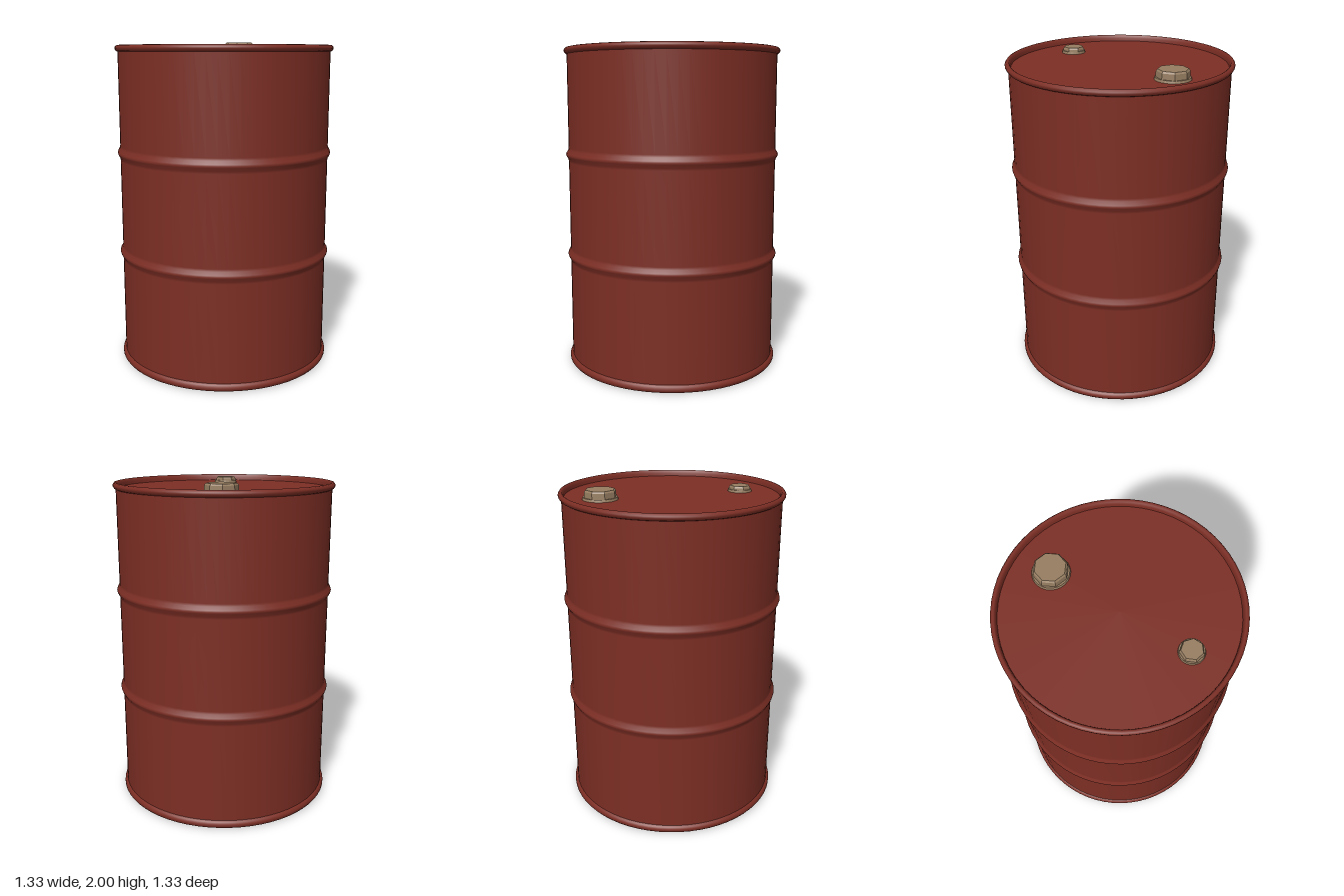
import * as THREE from 'three';

const red = new THREE.MeshStandardMaterial({ color: 0x7c2e24 });
red.name = 'red paint';
const tan = new THREE.MeshStandardMaterial({ color: 0x967d61 });
tan.name = 'tan cap';

const SIDES = 64;
const WALL = 0.65;
const RIM = 0.667;

// Lathe a profile listed as [radius, height], running upwards on the outside
function lathe(name, profile) {
  const points = profile.map(([r, y]) => new THREE.Vector2(r, y));
  const mesh = new THREE.Mesh(new THREE.LatheGeometry(points, SIDES), red);
  mesh.name = name;
  return mesh;
}

// Rolled hoop standing out from the wall
function hoop(y) {
  return [
    [WALL, y - 0.045], [WALL + 0.003, y - 0.03], [RIM - 0.003, y - 0.01],
    [RIM, y], [RIM - 0.003, y + 0.01], [WALL + 0.003, y + 0.03], [WALL, y + 0.045],
  ];
}

// Screw cap: round flange with a faceted, chamfered plug on top
function cap(name, x, z, radius, base, top, sides) {
  const group = new THREE.Group();
  group.name = name;
  const add = (part, rTop, rBottom, y0, y1, n) => {
    const geometry = new THREE.CylinderGeometry(rTop, rBottom, y1 - y0, n).toNonIndexed();
    geometry.computeVertexNormals();
    const mesh = new THREE.Mesh(geometry, tan);
    mesh.name = part;
    mesh.position.y = (y0 + y1) / 2;
    group.add(mesh);
  };
  const flange = base + 0.014;
  const chamfer = top - 0.01;
  add('capFlange', radius * 0.95, radius, base - 0.005, flange, 24);
  add('capPlug', radius * 0.89, radius * 0.91, flange, chamfer, sides);
  add('capTop', radius * 0.81, radius * 0.89, chamfer, top, sides);
  group.position.set(x, 0, z);
  return group;
}

export function createModel() {
  const drum = new THREE.Group();
  drum.name = 'drum';

  // Side wall with two hoops
  drum.add(lathe('wall', [[WALL, 0.04], ...hoop(0.7), ...hoop(1.33), [WALL, 1.95]]));

  // Rolled rims at both ends
  drum.add(lathe('bottomRim', [
    [0.637, 0.025], [0.639, 0.008], [0.648, 0.002], [0.658, 0.006],
    [RIM, 0.018], [RIM, 0.032], [0.66, 0.044], [WALL, 0.05],
  ]));
  drum.add(lathe('topRim', [
    [WALL, 1.94], [0.66, 1.945], [RIM, 1.957], [RIM, 1.967],
    [0.66, 1.977], [0.65, 1.98], [0.642, 1.975], [0.637, 1.96], [0.635, 1.942],
  ]));

  // Recessed end plates
  drum.add(lathe('bottomPlate', [[0, 0.02], [0.639, 0.02]]));
  drum.add(lathe('lid', [[0.637, 1.943], [0, 1.943]]));

  // Large and small screw caps
  drum.add(cap('largeCap', -0.277, -0.328, 0.106, 1.943, 2.0, 8));
  drum.add(cap('smallCap', 0.278, 0.325, 0.073, 1.943, 1.978, 7));
  return drum;
}
